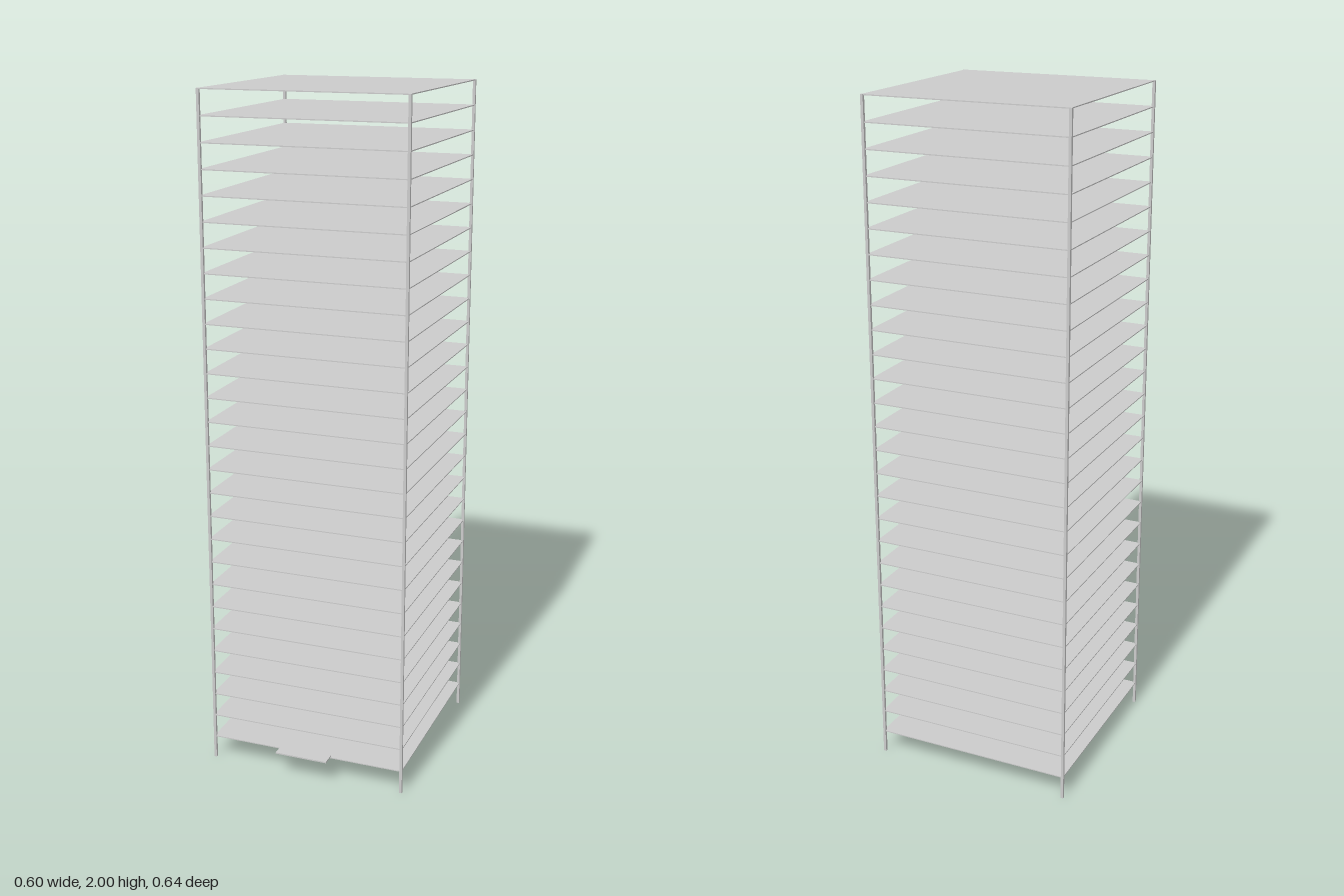
import * as THREE from 'three';

const material = new THREE.MeshStandardMaterial({ color: 0xcccccc, flatShading: true });

// Box placed by its centre
function box(name, w, h, d, x, y, z) {
  const mesh = new THREE.Mesh(new THREE.BoxGeometry(w, h, d), material);
  mesh.name = name;
  mesh.position.set(x, y, z);
  return mesh;
}

export function createModel() {
  const tower = new THREE.Group();
  tower.name = 'tower';

  const floors = 28, height = 2, width = 0.6, centreZ = -0.0205;
  const slab = 0.003, post = 0.008, canopyDepth = 0.0425;

  // Evenly spaced floor slabs, the last one being the roof
  for (let i = 1; i <= floors; i++) {
    const y = (height * i) / floors - slab / 2;
    tower.add(box(i === floors ? 'roofSlab' : 'floorSlab' + i, width, slab, width, 0, y, centreZ));
  }

  // Corner columns, standing slightly proud of the slabs
  const c = width / 2 - 0.002;
  for (const sx of [-1, 1]) {
    for (const sz of [-1, 1]) {
      const name = (sz > 0 ? 'front' : 'back') + (sx > 0 ? 'Left' : 'Right') + 'Column';
      tower.add(box(name, post, height, post, sx * c, height / 2, centreZ + sz * c));
    }
  }

  // Entrance canopy over the front door
  const frontZ = centreZ + width / 2;
  tower.add(box('entranceCanopy', 0.16, 0.004, canopyDepth, 0, 0.077, frontZ + canopyDepth / 2));

  return tower;
}
